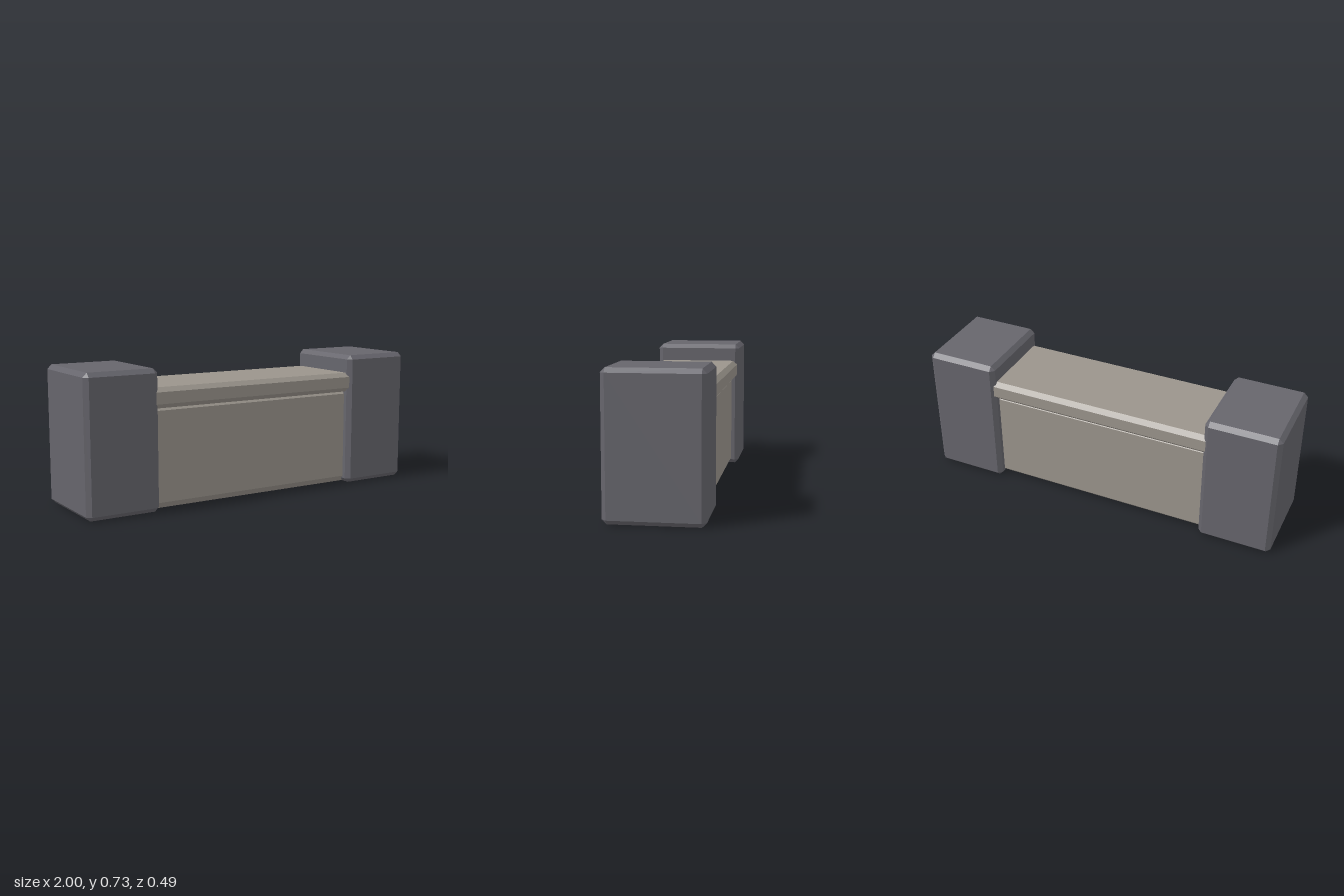
import * as THREE from 'three';
import { ConvexGeometry } from 'three/addons/geometries/ConvexGeometry.js';

// Box with chamfered edges and corners, centred on its origin
function chamferBox(width, height, depth, bevel) {
  const half = [width / 2, height / 2, depth / 2];
  const points = [];
  for (const sx of [-1, 1]) for (const sy of [-1, 1]) for (const sz of [-1, 1]) {
    for (let axis = 0; axis < 3; axis++) {
      // each corner becomes three points, one on each adjoining face
      const [x, y, z] = half.map((h, i) => (i === axis ? h : h - bevel));
      points.push(new THREE.Vector3(sx * x, sy * y, sz * z));
    }
  }
  return new ConvexGeometry(points);
}

// Bar along x with a chamfered rectangular section, standing on y = 0
function chamferBar(length, height, halfDepth, bevel) {
  const d = halfDepth, b = bevel, h = height;
  const section = new THREE.Shape([
    [-d + b, 0], [d - b, 0], [d, b], [d, h - b],
    [d - b, h], [-d + b, h], [-d, h - b], [-d, b],
  ].map(([x, y]) => new THREE.Vector2(x, y)));
  const geometry = new THREE.ExtrudeGeometry(section, { depth: length, bevelEnabled: false });
  return geometry.translate(0, 0, -length / 2).rotateY(Math.PI / 2);
}

export function createModel() {
  const model = new THREE.Group();
  model.name = 'lowWall';

  const pillarStone = new THREE.MeshStandardMaterial({ color: 0x66656c });
  pillarStone.name = 'dark grey stone';
  const wallStone = new THREE.MeshStandardMaterial({ color: 0x9a948c });
  wallStone.name = 'warm grey stone';

  const add = (name, geometry, material, x, y) => {
    const mesh = new THREE.Mesh(geometry, material);
    mesh.name = name;
    mesh.position.set(x, y, 0);
    model.add(mesh);
  };

  // End pillars
  const pillar = chamferBox(0.4, 0.73, 0.492, 0.023);
  add('leftPillar', pillar, pillarStone, 0.8, 0.365);
  add('rightPillar', pillar, pillarStone, -0.8, 0.365);

  // Wall panel and overhanging coping, both let into the pillars
  add('wallPanel', chamferBar(1.24, 0.546, 0.202, 0.035), wallStone, 0, 0);
  add('coping', chamferBar(1.3, 0.107, 0.234, 0.023), wallStone, 0, 0.525);

  return model;
}
